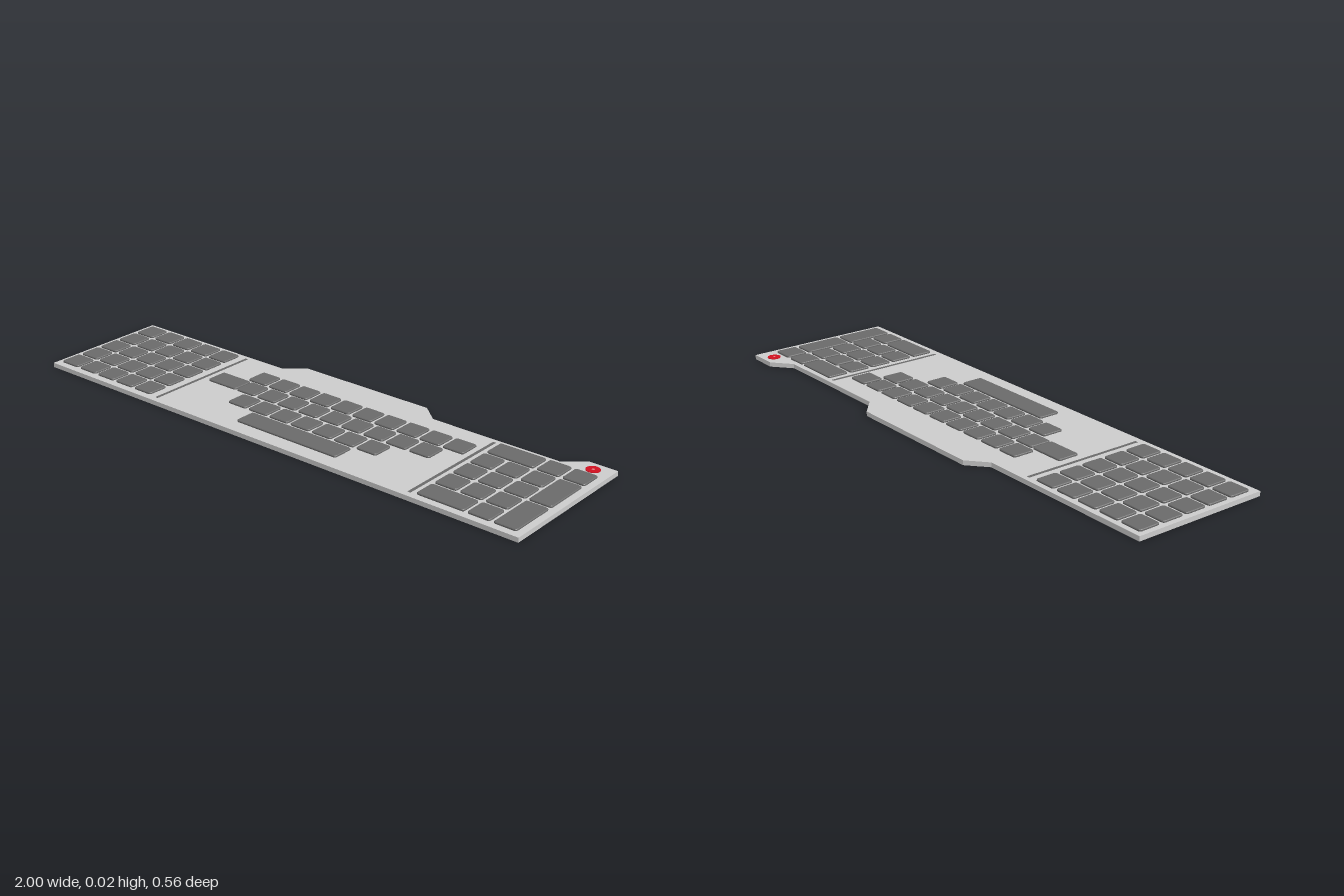
import * as THREE from 'three';

const PITCH = 0.0933, KEY = 0.081, TOP = 0.0165;
const grey = new THREE.MeshStandardMaterial({ color: 0xcccccc, flatShading: true });
const dark = new THREE.MeshStandardMaterial({ color: 0x6a6a6a, flatShading: true });
const red = new THREE.MeshStandardMaterial({ color: 0xd01020 });
const pale = new THREE.MeshStandardMaterial({ color: 0xe08080 });

function add(parent, name, geometry, material, x = 0, y = 0, z = 0) {
  const mesh = new THREE.Mesh(geometry, material);
  mesh.name = name;
  mesh.position.set(x, y, z);
  parent.add(mesh);
  return mesh;
}

// Rounded key cap with a small chamfer around its top edge
function keyGeometry(w, d) {
  const bevel = 0.002, r = 0.008;
  const a = w / 2 - bevel, b = d / 2 - bevel;
  const s = new THREE.Shape();
  s.moveTo(-a + r, -b);
  s.lineTo(a - r, -b);
  s.quadraticCurveTo(a, -b, a, -b + r);
  s.lineTo(a, b - r);
  s.quadraticCurveTo(a, b, a - r, b);
  s.lineTo(-a + r, b);
  s.quadraticCurveTo(-a, b, -a, b - r);
  s.lineTo(-a, -b + r);
  s.quadraticCurveTo(-a, -b, -a + r, -b);
  return new THREE.ExtrudeGeometry(s, {
    depth: 0.004, bevelThickness: bevel, bevelSize: bevel, bevelSegments: 1, curveSegments: 3,
  }).rotateX(-Math.PI / 2);
}

function addKey(parent, name, x, z, w = KEY, d = KEY) {
  add(parent, name, keyGeometry(w, d), dark, x, TOP + 0.0005, z);
}

function addRow(parent, count, x0, z) {
  for (let i = 0; i < count; i++) addKey(parent, 'key', x0 + i * PITCH, z);
}

export function createModel() {
  const model = new THREE.Group();
  model.name = 'keyboard';

  // Base plate with two raised tabs along the back edge, given as [x, z]
  const outline = [
    [-1, 0.277], [1, 0.277], [1, -0.278], [0.896, -0.278], [0.826, -0.219],
    [0.334, -0.219], [0.265, -0.278], [-0.268, -0.278], [-0.336, -0.219], [-1, -0.219],
  ];
  const plate = new THREE.Shape(outline.map(([x, z]) => new THREE.Vector2(x, -z)));
  add(model, 'basePlate',
    new THREE.ExtrudeGeometry(plate, { depth: TOP, bevelEnabled: false }).rotateX(-Math.PI / 2), grey);

  // Divider lines between the three key fields
  for (const x of [-0.493, 0.592]) {
    add(model, 'divider', new THREE.BoxGeometry(0.011, 0.001, 0.455), dark, x, TOP + 0.0002, 0.026);
  }

  const rowZ = [0, 1, 2, 3, 4].map((i) => -0.16 + i * 0.0928);

  // Symbol keys: five by five
  const symbols = new THREE.Group();
  symbols.name = 'symbolKeys';
  for (const z of rowZ) addRow(symbols, 5, -0.941, z);
  model.add(symbols);

  // Letter keys in staggered rows
  const letters = new THREE.Group();
  letters.name = 'letterKeys';
  addRow(letters, 10, -0.313, -0.1);
  addRow(letters, 9, -0.285, -0.008);
  addRow(letters, 7, -0.237, 0.086);
  addKey(letters, 'capsKey', -0.396, -0.008, 0.13);
  addKey(letters, 'spaceBar', 0.062, 0.179, 0.426);
  model.add(letters);

  // Number pad with double-width and double-height keys
  const pad = new THREE.Group();
  pad.name = 'numberPad';
  const col = [0, 1, 2, 3].map((i) => 0.657 + i * 0.0928);
  for (const z of rowZ.slice(1, 4)) addRow(pad, 3, col[0], z);
  for (const z of [rowZ[0], rowZ[4]]) {
    addKey(pad, 'wideKey', (col[0] + col[1]) / 2, z, KEY + PITCH);
    addKey(pad, 'key', col[2], z);
  }
  addKey(pad, 'key', col[3], rowZ[0]);
  addKey(pad, 'tallKey', col[3], (rowZ[1] + rowZ[2]) / 2, KEY, KEY + PITCH);
  addKey(pad, 'tallKey', col[3], (rowZ[3] + rowZ[4]) / 2, KEY, KEY + PITCH);
  model.add(pad);

  // Round power button with a small centre dot
  add(model, 'powerButton', new THREE.CylinderGeometry(0.024, 0.024, 0.002, 32), red, 0.936, TOP + 0.0008, -0.236);
  add(model, 'powerDot', new THREE.CylinderGeometry(0.005, 0.005, 0.001, 16), pale, 0.936, TOP + 0.0016, -0.236);

  return model;
}
